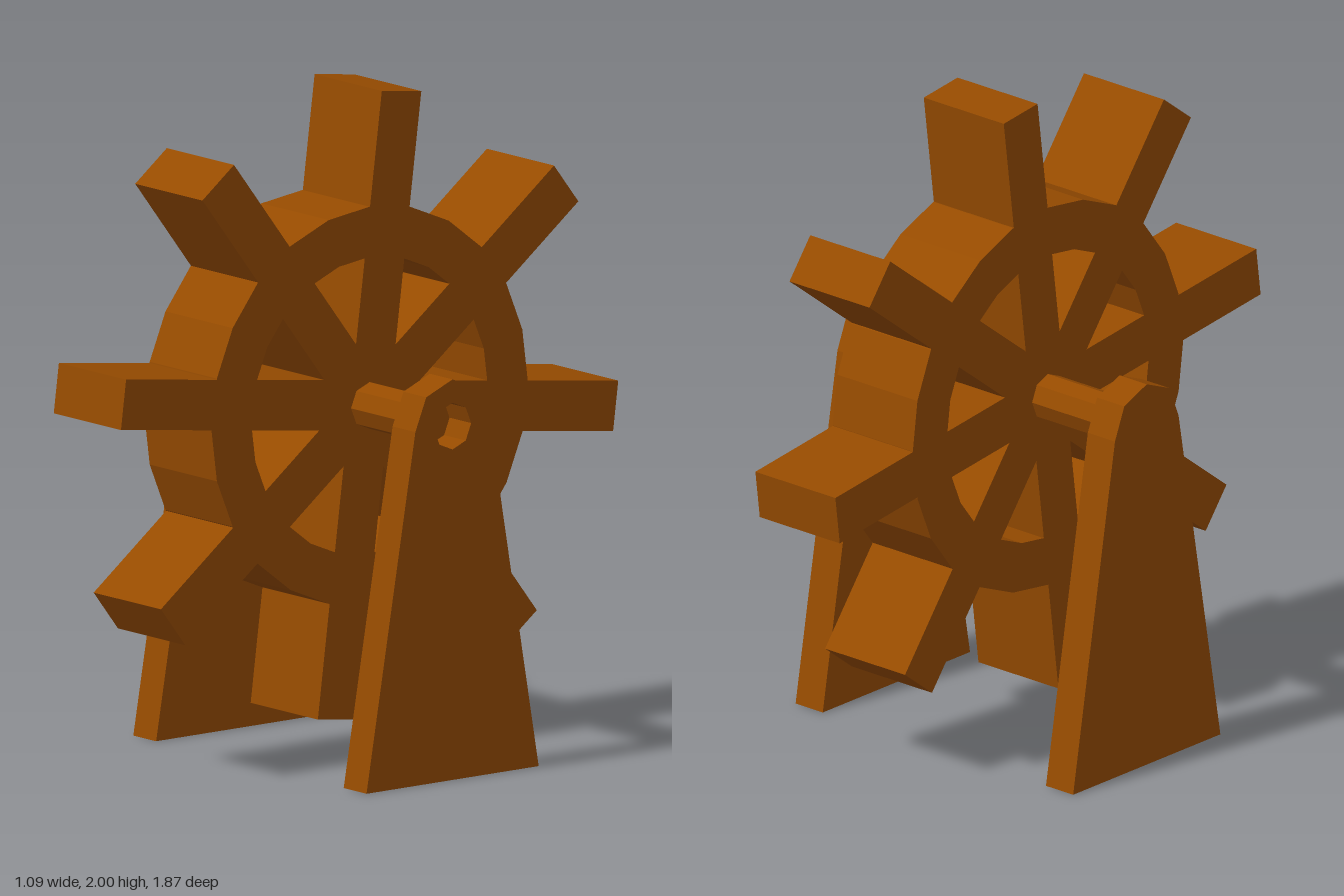
import * as THREE from 'three';

const WHEEL_Y = 1.06, WHEEL_WIDTH = 0.315;

// Regular polygon points in the (z, y) plane
function polygon(radius, sides, cy = 0) {
  return Array.from({ length: sides }, (_, i) => {
    const a = (i / sides) * Math.PI * 2;
    return new THREE.Vector2(Math.cos(a) * radius, cy + Math.sin(a) * radius);
  });
}

// Extrude a (z, y) profile along x, centred on x = 0
function extrudeAlongX(shape, depth) {
  const geo = new THREE.ExtrudeGeometry(shape, { depth, bevelEnabled: false });
  geo.translate(0, 0, -depth / 2);
  return geo.rotateY(-Math.PI / 2);
}

export function createModel() {
  const model = new THREE.Group();
  model.name = 'waterWheel';
  const wood = new THREE.MeshStandardMaterial({ color: 0x964b00, flatShading: true });
  const add = (parent, name, geometry) => {
    const mesh = new THREE.Mesh(geometry, wood);
    mesh.name = name;
    parent.add(mesh);
    return mesh;
  };

  // Wheel: a faceted rim crossed by four full-length paddle beams
  const wheel = new THREE.Group();
  wheel.name = 'wheel';
  wheel.position.y = WHEEL_Y;
  model.add(wheel);

  const rim = new THREE.Shape(polygon(0.595, 24));
  rim.holes.push(new THREE.Path(polygon(0.445, 24)));
  add(wheel, 'rim', extrudeAlongX(rim, WHEEL_WIDTH));

  for (let i = 0; i < 4; i++) {
    const beam = add(wheel, 'paddleBeam', new THREE.BoxGeometry(WHEEL_WIDTH, 1.868, 0.15));
    beam.rotation.x = -THREE.MathUtils.degToRad(7.4 + i * 45);
  }

  // Octagonal axle between the supports
  const axle = add(model, 'axle', extrudeAlongX(new THREE.Shape(polygon(0.07, 8)), 0.89));
  axle.position.y = WHEEL_Y;

  // Tapered supports with a rounded top; the left one has an open axle hole
  for (const side of [1, -1]) {
    const top = polygon(0.14, 8, WHEEL_Y).slice(0, 5);
    const profile = new THREE.Shape([
      new THREE.Vector2(-0.324, 0), new THREE.Vector2(0.324, 0), ...top,
    ]);
    if (side > 0) profile.holes.push(new THREE.Path(polygon(0.07, 8, WHEEL_Y)));
    const support = add(model, side > 0 ? 'leftSupport' : 'rightSupport', extrudeAlongX(profile, 0.107));
    support.position.x = side * 0.493;
  }

  return model;
}
